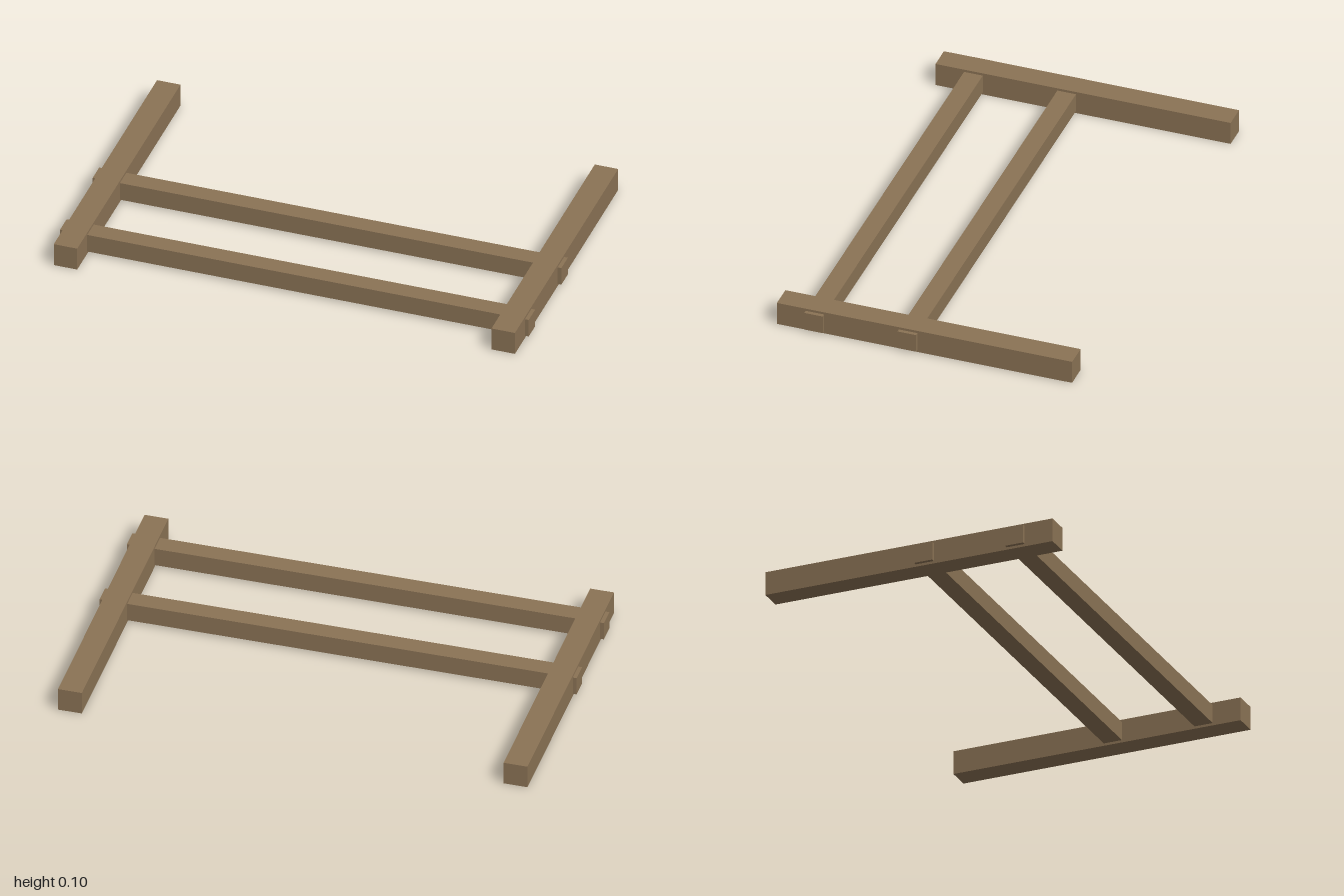
import * as THREE from 'three';

export function createModel() {
  const group = new THREE.Group();
  const wood = new THREE.MeshStandardMaterial({ color: 0x8b7355 });
  wood.name = 'brown wood';

  const addBeam = (name, size, position) => {
    const beam = new THREE.Mesh(new THREE.BoxGeometry(...size), wood);
    beam.name = name;
    beam.position.set(...position);
    group.add(beam);
  };

  // Two long side beams resting on the ground
  for (const [name, side] of [['leftSideBeam', 1], ['rightSideBeam', -1]]) {
    addBeam(name, [0.1, 0.101, 1.266], [side * 0.934, 0.0505, 0]);
  }

  // Two thinner crossbars whose ends poke through the side beams
  for (const [name, z] of [['frontCrossbar', 0.47], ['middleCrossbar', 0.07]]) {
    addBeam(name, [2, 0.08, 0.08], [0, 0.0505, z]);
  }

  return group;
}
